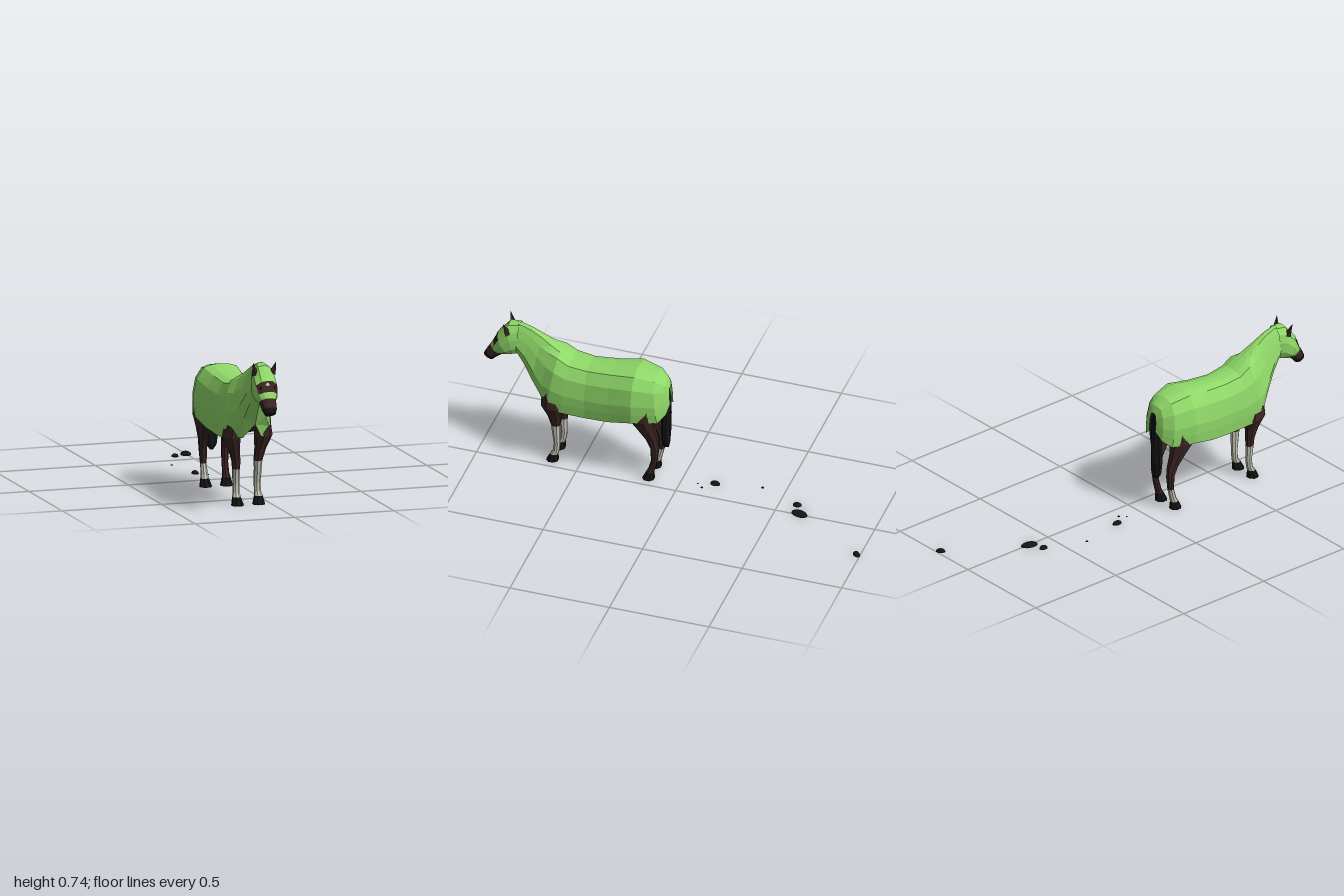
import * as THREE from 'three';

const mat = (color, side = THREE.FrontSide) =>
  new THREE.MeshStandardMaterial({ color, flatShading: true, side });
const GREEN = mat(0x8fd868, THREE.DoubleSide);
const BROWN = mat(0x3b2624);
const BLACK = mat(0x141414);
const WHITE = mat(0xc4c4b4);

// Half cross-sections from spine to underside: [fraction of width, fraction of height]
const TRUNK = [[0, 0], [.3, .01], [.6, .06], [.88, .27], [1, .6], [.98, .8], [.93, 1]];
const NECK = [[0, 0], [.26, .02], [.5, .15], [.75, .35], [1, .65], [.75, .88], [0, 1]];
const ROUND = [[0, 0], [.45, .03], [.85, .2], [1, .45], [.9, .75], [.5, .97], [0, 1]];

// Ring of points between a top and a bottom point, mirrored in x
function ring([zT, yT, zB, yB, w], profile) {
  const half = profile.map(([u, v]) => [u * w, yT + (yB - yT) * v, zT + (zB - zT) * v]);
  const left = half.slice(1).reverse();
  return [...left, ...half.map(([x, y, z]) => [-x, y, z])];
}

// Skin over a row of rings, optionally capped at the start and end
function loft(name, rings, material, capStart = false, capEnd = false) {
  const pos = [];
  for (let i = 0; i + 1 < rings.length; i++) {
    const a = rings[i], b = rings[i + 1];
    for (let j = 0; j + 1 < a.length; j++) {
      pos.push(...a[j], ...a[j + 1], ...b[j], ...a[j + 1], ...b[j + 1], ...b[j]);
    }
  }
  const cap = (r, flip) => {
    const c = [0, 1, 2].map(k => r.reduce((s, p) => s + p[k], 0) / r.length);
    for (let j = 0; j + 1 < r.length; j++) {
      pos.push(...c, ...(flip ? r[j + 1] : r[j]), ...(flip ? r[j] : r[j + 1]));
    }
  };
  if (capStart) cap(rings[0], true);
  if (capEnd) cap(rings[rings.length - 1], false);
  const g = new THREE.BufferGeometry();
  g.setAttribute('position', new THREE.Float32BufferAttribute(pos, 3));
  g.computeVertexNormals();
  const mesh = new THREE.Mesh(g, material);
  mesh.name = name;
  return mesh;
}

// Horizontal ring, used by legs and tail: [y, x, z, radiusX, radiusZ]
function flatRing([y, x, z, rx, rz], side = 1, n = 8) {
  return Array.from({ length: n + 1 }, (_, i) => {
    const a = (i % n) / n * Math.PI * 2 + Math.PI / n;
    return [x * side + rx * Math.cos(a), y, z + rz * Math.sin(a)];
  });
}

// Leg coloured brown, then sock from ring index `sock`, then hoof for the last rings
function leg(name, rows, side, sock) {
  const g = new THREE.Group();
  g.name = name;
  const r = rows.map(row => flatRing(row, side));
  const hoof = r.length - 2;
  g.add(loft('upperLeg', r.slice(0, sock + 1), BROWN, true));
  if (sock < hoof) g.add(loft('sock', r.slice(sock, hoof + 1), WHITE));
  g.add(loft('hoof', r.slice(hoof), BLACK, true, true));
  return g;
}

function blanket() {
  const trunk = [
    [.064, .52, .058, .43, .022], [.08, .555, .068, .39, .062], [.125, .588, .1, .36, .104],
    [.22, .608, .22, .355, .136], [.34, .59, .34, .325, .12], [.46, .58, .46, .315, .111],
    [.55, .592, .58, .322, .118], [.605, .625, .65, .33, .117],
  ].map(s => ring(s, TRUNK));
  const shoulder = ring([.65, .65, .695, .338, .1],
    NECK.map(([u, v], i) => [(u + TRUNK[i][0]) / 2, (v + TRUNK[i][1]) / 2]));
  const neck = [
    [.7, .68, .745, .41, .074], [.755, .708, .79, .495, .056], [.825, .729, .825, .555, .048],
  ].map(s => ring(s, NECK));
  return loft('blanketAndNeckHood', [...trunk, shoulder, ...neck], GREEN);
}

function head() {
  const g = new THREE.Group();
  g.name = 'head';
  const r = [
    [.815, .727, .82, .556, .046], [.87, .72, .84, .553, .06], [.925, .655, .86, .548, .062],
    [.948, .606, .885, .54, .054], [.962, .578, .9, .535, .041], [.985, .538, .935, .507, .036],
    [.998, .513, .95, .488, .025],
  ].map(s => ring(s, ROUND));
  const eyes = r.slice(2, 4);
  g.add(loft('hood', r.slice(0, 3), GREEN));
  // Open eye band across the face, with the hood continuing over the cheeks
  g.add(loft('eyeBand', eyes.map(p => p.slice(4, 9)), BROWN));
  g.add(loft('cheekLeft', eyes.map(p => p.slice(0, 5)), GREEN));
  g.add(loft('cheekRight', eyes.map(p => p.slice(8)), GREEN));
  g.add(loft('noseband', r.slice(3, 5), GREEN));
  g.add(loft('nose', r.slice(4, 6), BROWN));
  g.add(loft('muzzle', r.slice(5), BLACK, false, true));

  const star = new THREE.Mesh(new THREE.OctahedronGeometry(.011), WHITE);
  star.name = 'star';
  star.scale.z = .25;
  star.rotation.x = -.42;
  star.position.set(0, .639, .932);
  g.add(star);

  for (const s of [1, -1]) {
    const eye = new THREE.Mesh(new THREE.SphereGeometry(.008, 6, 4), BLACK);
    eye.name = 'eye';
    eye.scale.set(.7, 1.1, .7);
    eye.position.set(s * .034, .621, .928);
    const ear = new THREE.Mesh(new THREE.ConeGeometry(.02, .066, 5), BROWN);
    ear.name = 'ear';
    ear.scale.z = .8;
    ear.position.set(s * .05, .709, .876);
    ear.rotation.set(.3, 0, -s * .25);
    g.add(eye, ear);
  }
  return g;
}

export function createModel() {
  const model = new THREE.Group();
  model.name = 'horseInBlanket';
  const horse = new THREE.Group();
  horse.name = 'horse';
  horse.position.x = -.112;
  model.add(horse);

  // Body under the blanket
  const body = [
    [.085, .54, .088, .42, .05], [.13, .565, .125, .38, .088], [.22, .588, .22, .37, .118],
    [.34, .57, .34, .352, .103], [.46, .56, .46, .342, .096], [.57, .572, .57, .344, .1],
    [.63, .59, .64, .352, .096], [.665, .6, .695, .385, .06],
  ].map(s => ring(s, ROUND));
  horse.add(loft('body', body, BROWN, true, true), blanket(), head());

  // Legs
  const front = [
    [.42, .07, .63, .04, .055], [.335, .08, .625, .042, .062], [.27, .066, .622, .027, .036],
    [.21, .055, .62, .021, .024], [.175, .055, .619, .019, .021], [.1, .053, .614, .017, .016],
    [.06, .054, .618, .017, .016], [.04, .055, .628, .021, .02], [0, .053, .638, .031, .031],
  ];
  const hind = [
    [.45, .065, .17, .05, .075], [.36, .075, .185, .048, .072], [.3, .068, .163, .034, .05],
    [.23, .058, .135, .024, .031], [.18, .056, .123, .02, .022], [.11, .054, .126, .016, .016],
    [.06, .054, .139, .017, .017], [.04, .054, .147, .021, .02], [0, .052, .156, .031, .031],
  ];
  horse.add(
    leg('frontLegLeft', front, 1, 3), leg('frontLegRight', front, -1, 4),
    leg('hindLegLeft', hind, 1, 7), leg('hindLegRight', hind, -1, 5));

  // Tail
  const tail = [
    [.52, 0, .085, .014, .014], [.46, 0, .08, .025, .02], [.36, 0, .083, .033, .024],
    [.25, 0, .085, .034, .023], [.19, 0, .085, .026, .019], [.166, 0, .085, .008, .015],
  ].map(row => flatRing(row));
  horse.add(loft('tail', tail, BLACK, true, true));

  // Flat stones trailing on the ground: x, z, radiusX, radiusZ, height, turn
  const stones = [
    [.222, -.982, .016, .023, .016, -.8], [-.005, -.62, .026, .043, .016, -.25],
    [-.07, -.587, .017, .022, .015, 0], [-.153, -.386, .007, .007, .005, 0],
    [-.111, -.162, .017, .025, .016, 0], [-.087, -.082, .004, .004, .004, 0],
    [-.063, -.111, .006, .006, .005, 0],
  ];
  const dome = new THREE.SphereGeometry(1, 12, 4, 0, Math.PI * 2, 0, Math.PI / 2);
  const black2 = mat(0x141414, THREE.DoubleSide);
  for (const [x, z, rx, rz, h, turn] of stones) {
    const stone = new THREE.Mesh(dome, black2);
    stone.name = 'groundStone';
    stone.position.set(x, 0, z);
    stone.scale.set(rx, h, rz);
    stone.rotation.y = turn;
    model.add(stone);
  }
  return model;
}
